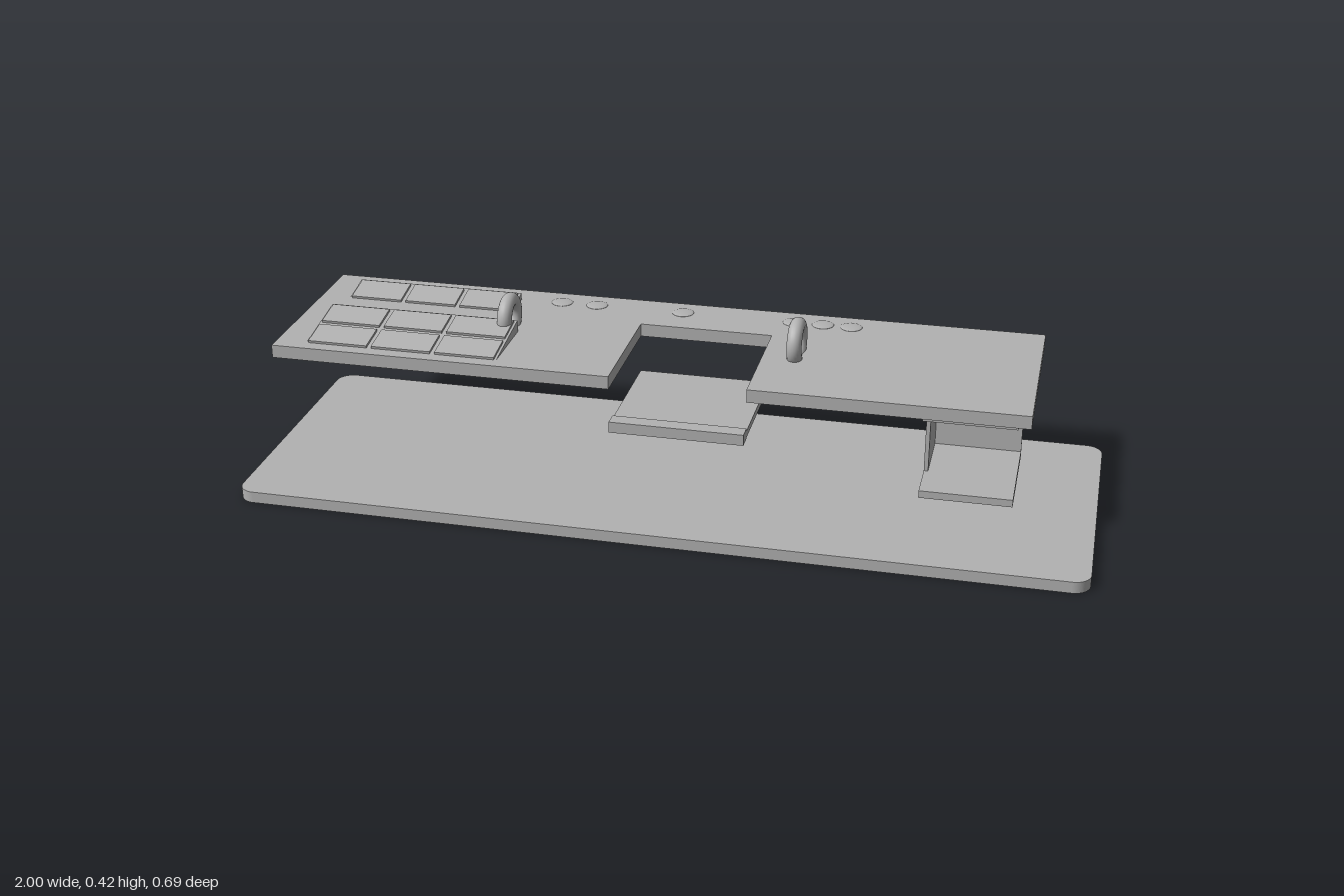
import * as THREE from 'three';

const grey = new THREE.MeshStandardMaterial({ color: 0xb2b2b2 });
grey.name = 'plain grey';

export function createModel() {
  const model = new THREE.Group();
  model.name = 'workstation';

  function add(name, geometry, parent = model) {
    const mesh = new THREE.Mesh(geometry, grey);
    mesh.name = name;
    parent.add(mesh);
    return mesh;
  }

  // Box given by its minimum and maximum on each axis
  function block(name, x0, x1, y0, y1, z0, z1, parent) {
    const mesh = add(name, new THREE.BoxGeometry(x1 - x0, y1 - y0, z1 - z0), parent);
    mesh.position.set((x0 + x1) / 2, (y0 + y1) / 2, (z0 + z1) / 2);
    return mesh;
  }

  // Flat slab from an outline drawn in (x, -z)
  function slab(name, shape, y0, y1) {
    const g = new THREE.ExtrudeGeometry(shape, { depth: y1 - y0, bevelEnabled: false, curveSegments: 10 });
    g.rotateX(-Math.PI / 2);
    g.translate(0, y0, 0);
    return add(name, g);
  }

  // Base mat with rounded corners
  const w = 1, d = 0.345, r = 0.04;
  const mat = new THREE.Shape();
  mat.absarc(w - r, d - r, r, 0, Math.PI / 2);
  mat.absarc(-w + r, d - r, r, Math.PI / 2, Math.PI);
  mat.absarc(-w + r, -d + r, r, Math.PI, Math.PI * 1.5);
  mat.absarc(w - r, -d + r, r, Math.PI * 1.5, Math.PI * 2);
  slab('baseMat', mat, 0, 0.028);

  // Desk top with a notch open to the front
  const outline = [
    [-0.96, -0.165], [-0.13, -0.165], [-0.13, 0.155], [0.195, 0.155],
    [0.195, -0.165], [0.84, -0.165], [0.84, 0.305], [-0.96, 0.305],
  ];
  slab('deskTop', new THREE.Shape(outline.map(([x, y]) => new THREE.Vector2(x, y))), 0.3, 0.332);

  // Tray hanging below the notch, with a thicker front lip
  block('trayPlate', -0.13, 0.19, 0.193, 0.21, -0.15, 0.14);
  block('trayLip', -0.13, 0.19, 0.19, 0.217, 0.13, 0.167);

  // Cabinet: two shelves, one side wall and a back wall, open at front and left
  const cabinet = new THREE.Group();
  cabinet.name = 'cabinet';
  model.add(cabinet);
  block('cabinetTop', 0.595, 0.81, 0.282, 0.3, -0.125, 0.137, cabinet);
  block('cabinetFloor', 0.595, 0.81, 0.087, 0.105, -0.125, 0.137, cabinet);
  block('cabinetSide', 0.595, 0.605, 0.105, 0.282, -0.125, 0.033, cabinet);
  block('cabinetBack', 0.605, 0.81, 0.105, 0.282, -0.125, -0.117, cabinet);

  // Sloping console with rows of raised panels
  function console3(name, x0, x1, zFront, zBack, rise, rows) {
    const group = new THREE.Group();
    group.name = name;
    model.add(group);
    const length = zFront - zBack;
    const wedge = new THREE.Shape();
    wedge.moveTo(0, 0);
    wedge.lineTo(length, 0);
    wedge.lineTo(length, rise);
    wedge.closePath();
    const g = new THREE.ExtrudeGeometry(wedge, { depth: x1 - x0, bevelEnabled: false });
    g.rotateY(Math.PI / 2);
    g.translate(x0, 0.331, zFront);
    add('consoleWedge', g, group);

    const face = new THREE.Group();
    face.name = 'panels';
    face.position.set(x0, 0.331, zFront);
    face.rotation.x = Math.atan2(rise, length);
    group.add(face);
    const cellX = (x1 - x0) / 3, cellZ = length / rows;
    for (let row = 0; row < rows; row++) {
      for (let col = 0; col < 3; col++) {
        block('panel', col * cellX + 0.006, (col + 1) * cellX - 0.006, -0.002, 0.006,
          -(row + 1) * cellZ + 0.008, -row * cellZ - 0.008, face);
      }
    }
  }
  console3('frontConsole', -0.885, -0.41, 0.14, -0.045, 0.03, 2);
  console3('rearConsole', -0.885, -0.46, -0.15, -0.243, 0.018, 1);

  // Upright rings on either side of the notch
  for (const x of [-0.435, 0.272]) {
    const ring = add('ring', new THREE.TorusGeometry(0.042, 0.018, 20, 40));
    ring.rotation.y = Math.PI / 2;
    ring.position.set(x, 0.362, -0.061);
  }

  // Low round buttons along the back strip
  for (const x of [-0.355, -0.265, -0.045, 0.233, 0.305, 0.375]) {
    const button = add('button', new THREE.SphereGeometry(0.027, 20, 8, 0, Math.PI * 2, 0, Math.PI / 2));
    button.scale.y = 0.16;
    button.position.set(x, 0.332, -0.248);
  }

  return model;
}
